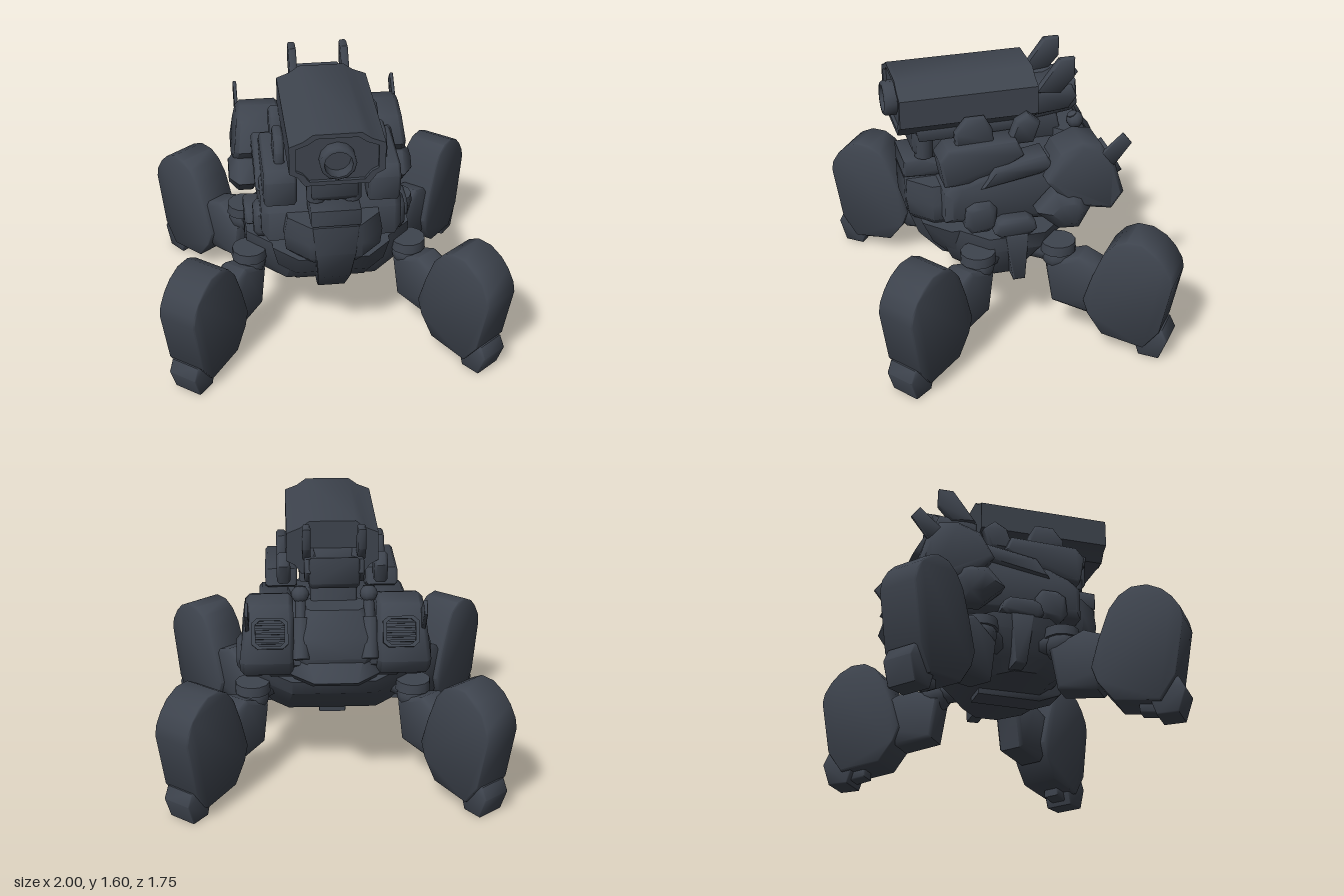
import * as THREE from 'three';
import { toCreasedNormals } from 'three/addons/utils/BufferGeometryUtils.js';

const armour = new THREE.MeshStandardMaterial({ color: 0x3e444e });
armour.name = 'slate armour';

function add(parent, name, geometry, x = 0, y = 0, z = 0) {
  const mesh = new THREE.Mesh(toCreasedNormals(geometry, 0.9), armour);
  mesh.name = name;
  mesh.position.set(x, y, z);
  parent.add(mesh);
  return mesh;
}

// Chamfered extrusion of a 2D outline, centred on its depth
function slab(points, depth, bevel = 0.02, hole = null) {
  const shape = new THREE.Shape(points.map(p => new THREE.Vector2(p[0], p[1])));
  if (hole) shape.holes.push(new THREE.Path(hole.map(p => new THREE.Vector2(p[0], p[1]))));
  const g = new THREE.ExtrudeGeometry(shape, {
    depth: depth - 2 * bevel, bevelEnabled: bevel > 0, bevelSize: bevel,
    bevelThickness: bevel, bevelOffset: -bevel, bevelSegments: 1,
  });
  g.translate(0, 0, bevel - depth / 2);
  return g;
}

// Side outline given as [z, y], extruded across x
const profile = (points, width, bevel) => slab(points, width, bevel).rotateY(-Math.PI / 2);

// The same side part on both flanks, from x0 to x1
function pair(parent, name, points, x0, x1, bevel) {
  for (const s of [1, -1]) {
    add(parent, (s > 0 ? 'left ' : 'right ') + name, profile(points, x1 - x0, bevel), s * (x0 + x1) / 2);
  }
}

// Stacked eight-cornered rings: [y, halfWidth, zBack, zFront, corner]
function loft(rings) {
  const loops = rings.map(([y, w, b, f, c]) => [
    [w, y, f - c], [w - c, y, f], [c - w, y, f], [-w, y, f - c],
    [-w, y, b + c], [c - w, y, b], [w - c, y, b], [w, y, b + c],
  ]);
  const pos = [];
  const tri = (...pts) => pts.forEach(p => pos.push(...p));
  for (let r = 0; r < loops.length; r++) {
    const a = loops[r], b = loops[r + 1];
    const [y, , zb, zf] = rings[r];
    for (let i = 0; i < 8; i++) {
      const j = (i + 1) % 8;
      if (b) { tri(a[i], b[i], b[j]); tri(a[i], b[j], a[j]); }
      if (r === 0) tri([0, y, (zb + zf) / 2], a[i], a[j]);
      if (!b) tri([0, y, (zb + zf) / 2], a[j], a[i]);
    }
  }
  const g = new THREE.BufferGeometry();
  g.setAttribute('position', new THREE.Float32BufferAttribute(pos, 3));
  return g;
}

// Rod between two points
function rod(parent, name, from, to, radius, sides = 8) {
  const a = new THREE.Vector3(...from), b = new THREE.Vector3(...to);
  const mesh = add(parent, name, new THREE.CylinderGeometry(radius, radius, a.distanceTo(b), sides));
  mesh.position.copy(a).lerp(b, 0.5);
  mesh.quaternion.setFromUnitVectors(new THREE.Vector3(0, 1, 0), b.sub(a).normalize());
}

// Framed vent with slats facing backwards
function vent(parent, name, x, y, z, w, h, tilt) {
  const g = new THREE.Group();
  g.name = name;
  g.position.set(x, y, z);
  g.rotation.x = tilt;
  parent.add(g);
  const r = (a, b) => [[-a, -b * 0.7], [-a * 0.7, -b], [a * 0.7, -b], [a, -b * 0.7], [a, b * 0.7], [a * 0.7, b], [-a * 0.7, b], [-a, b * 0.7]];
  add(g, 'vent frame', slab(r(w / 2, h / 2), 0.09, 0, r(w * 0.4, h * 0.41)));
  for (let i = 0; i < 5; i++) {
    add(g, 'vent slat', new THREE.BoxGeometry(w * 0.8, h * 0.07, 0.03), 0, (i - 2) * h * 0.15, -0.02);
  }
}

function leg(parent, sx, sz) {
  const g = new THREE.Group();
  g.name = `${sz > 0 ? 'front' : 'rear'} ${sx > 0 ? 'left' : 'right'} leg`;
  g.position.set(sx * 0.91, 0, sz * 0.809);
  g.rotation.y = Math.atan2(sx * 0.61, sz * 0.79);
  parent.add(g);
  add(g, 'shin', profile([
    [0, 0.53], [-0.012, 0.59], [-0.055, 0.66], [-0.11, 0.715], [-0.19, 0.755], [-0.28, 0.755], [-0.35, 0.715],
    [-0.41, 0.64], [-0.47, 0.48], [-0.52, 0.31], [-0.49, 0.22], [-0.4, 0.1], [-0.15, 0.07], [-0.06, 0.2],
  ].reverse(), 0.236, 0.006));
  add(g, 'foot', profile([[-0.18, 0], [-0.06, 0], [-0.015, 0.13], [-0.05, 0.2], [-0.2, 0.2], [-0.22, 0.12]], 0.18, 0.006));
  add(g, 'toe', profile([[-0.28, 0.04], [-0.15, 0.02], [-0.15, 0.11], [-0.28, 0.1]], 0.1, 0.008));
  add(g, 'thigh', profile([
    [-0.725, 0.225], [-0.5, 0.195], [-0.4, 0.3], [-0.42, 0.5], [-0.57, 0.56], [-0.77, 0.475],
  ], 0.175, 0.02));
  add(g, 'hip ball', new THREE.SphereGeometry(0.095, 12, 8), 0, 0.51, -0.72);
  add(g, 'hip cap', new THREE.CylinderGeometry(0.1, 0.105, 0.06, 12), 0, 0.575, -0.72);
  rod(g, 'hip axle', [0, 0.53, -0.72], [0, 0.53, -0.93], 0.07);
}

export function createModel() {
  const model = new THREE.Group();
  model.name = 'four legged walker';
  for (const sx of [1, -1]) for (const sz of [1, -1]) leg(model, sx, sz);

  // Lower hull, keel and hanging skirts
  add(model, 'hull', loft([
    [0.37, 0.38, -0.13, 0.24, 0.12], [0.44, 0.42, -0.2, 0.34, 0.16],
    [0.58, 0.48, -0.37, 0.41, 0.24], [0.67, 0.48, -0.4, 0.41, 0.24],
  ]));
  add(model, 'turntable', new THREE.CylinderGeometry(0.15, 0.15, 0.1, 16), 0, 0.69, 0);
  add(model, 'lower belly', loft([
    [0.41, 0.26, 0, 0.31, 0.06], [0.54, 0.31, 0, 0.44, 0.1], [0.67, 0.34, 0, 0.5, 0.14],
  ]));
  add(model, 'belly', loft([
    [0.67, 0.22, 0, 0.53, 0.1], [0.72, 0.27, 0, 0.565, 0.12],
    [0.82, 0.28, 0, 0.58, 0.13], [0.935, 0.26, 0, 0.57, 0.12],
  ]));
  const keel = profile([
    [-0.13, 0.34], [0.24, 0.335], [0.36, 0.38], [0.5, 0.54], [0.58, 0.75], [0.585, 0.94], [0.3, 0.94], [-0.13, 0.5],
  ], 0.26, 0.006);
  const p = keel.attributes.position;
  for (let i = 0; i < p.count; i++) p.setX(i, p.getX(i) * (0.6 + 0.4 * Math.min(1, (p.getY(i) - 0.335) / 0.6)));
  add(model, 'front keel', keel);
  pair(model, 'side cap', [[-0.11, 0.7], [-0.07, 0.67], [0.1, 0.67], [0.14, 0.7], [0.12, 0.76], [0.08, 0.78], [-0.06, 0.78], [-0.1, 0.75]], 0.36, 0.485, 0.015);
  pair(model, 'side skirt', [[-0.04, 0.375], [0.03, 0.375], [0.08, 0.68], [-0.06, 0.68]], 0.36, 0.485, 0.008);

  // Torso
  add(model, 'torso', profile([
    [0.4, 0.75], [0.4, 0.935], [0.33, 1.0], [0.22, 1.05], [0, 1.1], [-0.4, 1.1], [-0.53, 1.0], [-0.55, 0.85], [-0.38, 0.7], [-0.2, 0.7],
  ].reverse(), 0.8, 0.04));
  add(model, 'chin plate', profile([[0.585, 0.95], [0.585, 1.05], [0.48, 1.055], [0.32, 0.99], [0.35, 0.94]].reverse(), 0.28, 0.008));
  add(model, 'back plate', loft([
    [0.8, 0.18, -0.56, -0.3, 0.05], [0.9, 0.22, -0.59, -0.3, 0.05], [1.02, 0.22, -0.57, -0.3, 0.05], [1.15, 0.18, -0.48, -0.3, 0.05],
  ]));
  add(model, 'tail fairing', loft([
    [0.7, 0.18, -0.44, -0.3, 0.06], [0.75, 0.23, -0.61, -0.3, 0.1], [0.79, 0.25, -0.665, -0.3, 0.13], [0.88, 0.23, -0.58, -0.3, 0.08],
  ]));
  pair(model, 'flank pod', [[0.12, 0.72], [0.16, 0.69], [0.26, 0.69], [0.3, 0.74], [0.29, 0.85], [0.24, 0.88], [0.15, 0.88], [0.11, 0.83]], 0.3, 0.44, 0.025);
  pair(model, 'hip pod', [[-0.1, 0.82], [-0.23, 0.7], [-0.35, 0.69], [-0.42, 0.82], [-0.37, 0.91], [-0.31, 0.935], [-0.2, 0.93]].reverse(), 0.36, 0.555, 0.055);
  pair(model, 'sloped plate', [[0.2, 0.965], [-0.15, 1.02], [-0.22, 1.06], [-0.18, 1.13], [0.12, 1.08]].reverse(), 0.24, 0.42, 0.015);
  pair(model, 'front pod', [[0.4, 0.985], [0.43, 1.15], [0.38, 1.21], [-0.02, 1.22], [-0.06, 1.13], [0.2, 0.99]], 0.2, 0.385, 0.015);
  pair(model, 'front fin', [[0.1, 1.2], [0.32, 1.2], [0.325, 1.28], [0.26, 1.36], [0.15, 1.36], [0.11, 1.29]], 0.26, 0.318, 0.012);
  pair(model, 'rear fin', [[0.02, 1.17], [-0.13, 1.17], [-0.17, 1.29], [-0.1, 1.35], [-0.03, 1.31]].reverse(), 0.24, 0.318, 0.015);

  // Shoulder engines, narrowing upwards, with exhaust vents and blades
  for (const s of [1, -1]) {
    const engine = profile([
      [-0.16, 1.0], [-0.24, 1.16], [-0.37, 1.21], [-0.48, 1.19], [-0.56, 1.06], [-0.61, 0.89], [-0.54, 0.79], [-0.3, 0.84],
    ], 0.3, 0.025);
    const e = engine.attributes.position;
    for (let i = 0; i < e.count; i++) {
      if (s * e.getX(i) > 0) e.setX(i, e.getX(i) - s * 0.04 * Math.max(0, (e.getY(i) - 0.9) / 0.3));
    }
    add(model, s > 0 ? 'left shoulder engine' : 'right shoulder engine', engine, s * 0.38);
    vent(model, 'exhaust vent', s * 0.36, 1.04, -0.54, 0.2, 0.17, 0.5);
    // Back pistons
    rod(model, 'piston rod', [s * 0.19, 1.26, -0.39], [s * 0.19, 0.9, -0.56], 0.03);
    rod(model, 'piston sleeve', [s * 0.19, 1.1, -0.465], [s * 0.19, 0.9, -0.58], 0.048, 10);
    add(model, 'piston joint', new THREE.SphereGeometry(0.05, 10, 8), s * 0.19, 1.22, -0.41);
    rod(model, 'neck cylinder', [s * 0.1, 1.06, 0.46], [s * 0.1, 1.26, 0.46], 0.055, 10);
  }
  pair(model, 'engine blade', [[-0.46, 1.13], [-0.6, 1.255], [-0.65, 1.19], [-0.55, 1.06]], 0.474, 0.496, 0.004);

  // Neck and gun mount
  add(model, 'neck', profile([[0.53, 1.11], [0.53, 1.26], [-0.32, 1.26], [-0.36, 1.05], [0.44, 1.05], [0.5, 1.07]].reverse(), 0.26, 0.012));
  add(model, 'gun cradle', profile([[0.5, 1.19], [0.52, 1.27], [-0.15, 1.27], [-0.15, 1.19]].reverse(), 0.38, 0.01));

  // Cannon housing with a recessed face and an open muzzle
  const half = [[0.13, 1.56], [0.185, 1.52], [0.26, 1.49], [0.26, 1.325], [0.215, 1.3], [0.175, 1.245]];
  const outline = [...half, ...half.map(([x, y]) => [-x, y]).reverse()].reverse();
  const inner = outline.map(([x, y]) => [x * 0.86, 1.4 + (y - 1.4) * 0.84]);
  add(model, 'cannon housing', slab(outline, 0.77, 0), 0, 0, 0.215);
  add(model, 'cannon rim', slab(outline, 0.02, 0, inner), 0, 0, 0.61);
  const ring = [[0.1, 0], [0.1, 0.06], [0.09, 0.072], [0.078, 0.072], [0.074, 0.005], [0, 0.005]];
  add(model, 'muzzle', new THREE.LatheGeometry(ring.map(q => new THREE.Vector2(...q)), 12).rotateX(Math.PI / 2), 0, 1.4, 0.6);

  // Cannon rear block with upright ears
  add(model, 'cannon rear', profile([[-0.16, 1.22], [-0.4, 1.25], [-0.44, 1.29], [-0.43, 1.44], [-0.3, 1.4], [-0.16, 1.4]].reverse(), 0.28, 0.015));
  pair(model, 'ear', [[-0.18, 1.405], [-0.32, 1.595], [-0.41, 1.595], [-0.41, 1.48], [-0.33, 1.39]], 0.13, 0.175, 0.008);
  pair(model, 'ear bracket', [[-0.17, 1.26], [-0.38, 1.28], [-0.43, 1.35], [-0.4, 1.42], [-0.3, 1.41], [-0.17, 1.4]], 0.1, 0.165, 0.01);
  return model;
}
